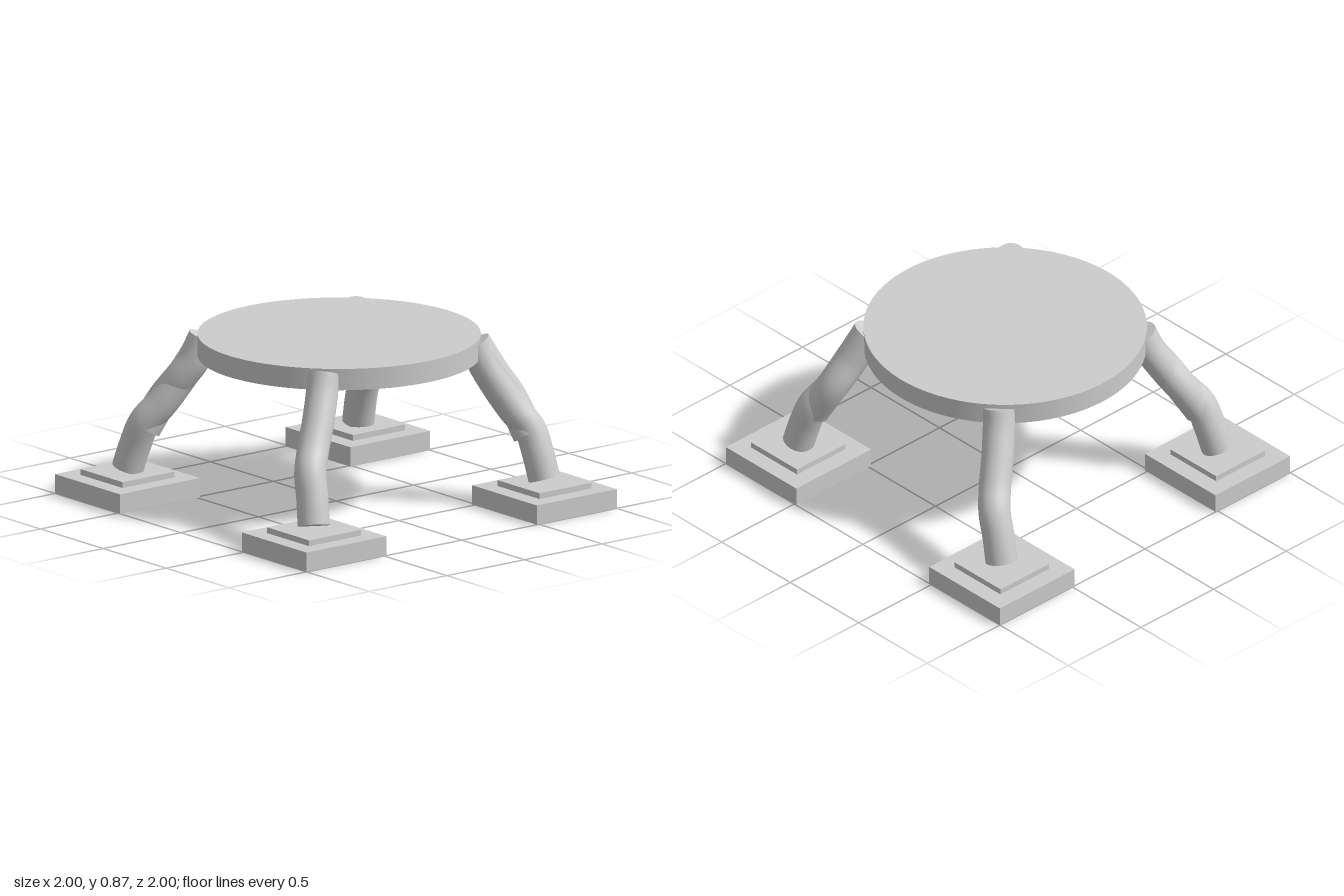
import * as THREE from 'three';

export function createModel() {
  const model = new THREE.Group();
  model.name = 'roundTable';
  const grey = new THREE.MeshStandardMaterial({ color: 0xcccccc });
  grey.name = 'plain grey';

  const add = (parent, name, geometry, x = 0, y = 0, z = 0) => {
    const mesh = new THREE.Mesh(geometry, grey);
    mesh.name = name;
    mesh.position.set(x, y, z);
    parent.add(mesh);
    return mesh;
  };

  // Round limb swept along a bent path, with a flat disc on each end
  const limb = (parent, name, points, radius) => {
    const group = new THREE.Group();
    group.name = name;
    parent.add(group);
    const curve = new THREE.CatmullRomCurve3(points.map((p) => new THREE.Vector3(...p)));
    add(group, name + 'Tube', new THREE.TubeGeometry(curve, 40, radius, 28));
    for (const t of [0, 1]) {
      const at = curve.getPointAt(t);
      const out = curve.getTangentAt(t).multiplyScalar(t ? 1 : -1);
      const cap = add(group, name + 'End', new THREE.CircleGeometry(radius, 28), at.x, at.y, at.z);
      cap.quaternion.setFromUnitVectors(new THREE.Vector3(0, 0, 1), out);
    }
  };

  // Table top and the short hub under it
  add(model, 'tableTop', new THREE.CylinderGeometry(0.71, 0.71, 0.11, 96), 0, 0.81, -0.02);
  add(model, 'hub', new THREE.CylinderGeometry(0.163, 0.163, 0.06, 48), 0, 0.73, 0);

  // Leg path from the table top down to the foot
  const legPath = [
    [0.475, 0.83, 0.465], [0.5, 0.745, 0.495], [0.55, 0.615, 0.56], [0.602, 0.49, 0.635],
    [0.66, 0.39, 0.7], [0.705, 0.27, 0.723], [0.74, 0.145, 0.743],
  ];

  for (const sx of [1, -1]) {
    for (const sz of [1, -1]) {
      const corner = new THREE.Group();
      corner.name = (sz > 0 ? 'front' : 'back') + (sx > 0 ? 'Left' : 'Right') + 'Support';
      model.add(corner);

      // Stepped square foot
      add(corner, 'foot', new THREE.BoxGeometry(0.515, 0.1, 0.515), sx * 0.7425, 0.05, sz * 0.7425);
      add(corner, 'footPlate', new THREE.BoxGeometry(0.335, 0.03, 0.335), sx * 0.7425, 0.115, sz * 0.7425);

      // Back legs reach slightly further back at the top
      const shift = sz < 0 ? -0.045 : 0;
      limb(corner, 'leg', legPath.map(([x, y, z]) =>
        [sx * x, y, sz * z + shift * (y - 0.145) / 0.69]), 0.081);
    }
  }

  // Shorter outer sleeves fused to one diagonal pair of legs
  limb(model, 'frontRightSleeve', [
    [-0.472, 0.83, 0.468], [-0.495, 0.72, 0.51], [-0.54, 0.63, 0.56],
    [-0.615, 0.51, 0.615], [-0.66, 0.36, 0.695],
  ], 0.081);
  limb(model, 'backLeftSleeve', [
    [0.47, 0.83, -0.515], [0.52, 0.68, -0.59], [0.565, 0.535, -0.675], [0.66, 0.36, -0.708],
  ], 0.081);

  return model;
}
